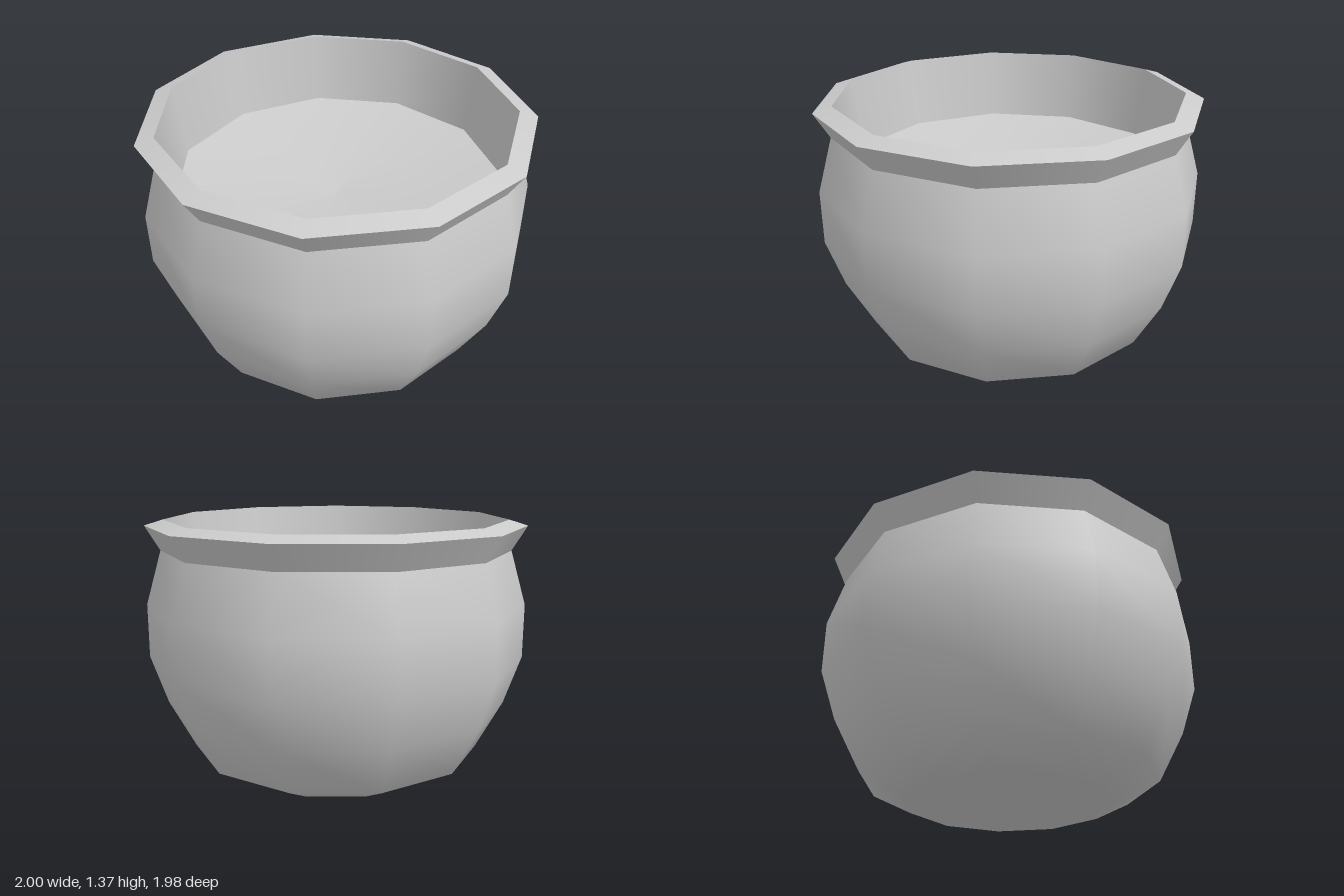
import * as THREE from 'three';

const SIDES = 11;
const CENTRE_Z = 0.02; // odd-sided ring: shift so the bounds are centred

const material = new THREE.MeshStandardMaterial({ color: 0xcccccc });

// Eleven-sided turned surface, smooth around, with a corner at the back
function turned(name, profile) {
  const points = profile.map(([r, y]) => new THREE.Vector2(r, y));
  const mesh = new THREE.Mesh(new THREE.LatheGeometry(points, SIDES, Math.PI), material);
  mesh.name = name;
  return mesh;
}

export function createModel() {
  const pot = new THREE.Group();
  pot.name = 'pot';

  // Rounded belly with its flattened base
  pot.add(turned('body', [
    [0, 0], [0.285, 0], [0.555, 0.005], [0.782, 0.12], [0.922, 0.38],
    [1.01, 0.64], [1.01, 0.925], [0.927, 1.21],
  ]));

  // Flared lip: outer flare, sloping top, inner wall, each with a crisp edge
  pot.add(turned('rimFlare', [[0.927, 1.21], [1.005, 1.34]]));
  pot.add(turned('rimTop', [[1.005, 1.34], [0.909, 1.37]]));
  pot.add(turned('innerWall', [[0.909, 1.37], [0.858, 0.993]]));

  // Shallow dished floor
  pot.add(turned('innerFloor', [[0.858, 0.993], [0.43, 0.923], [0, 0.893]]));

  pot.children.forEach((part) => { part.position.z = CENTRE_Z; });
  return pot;
}
